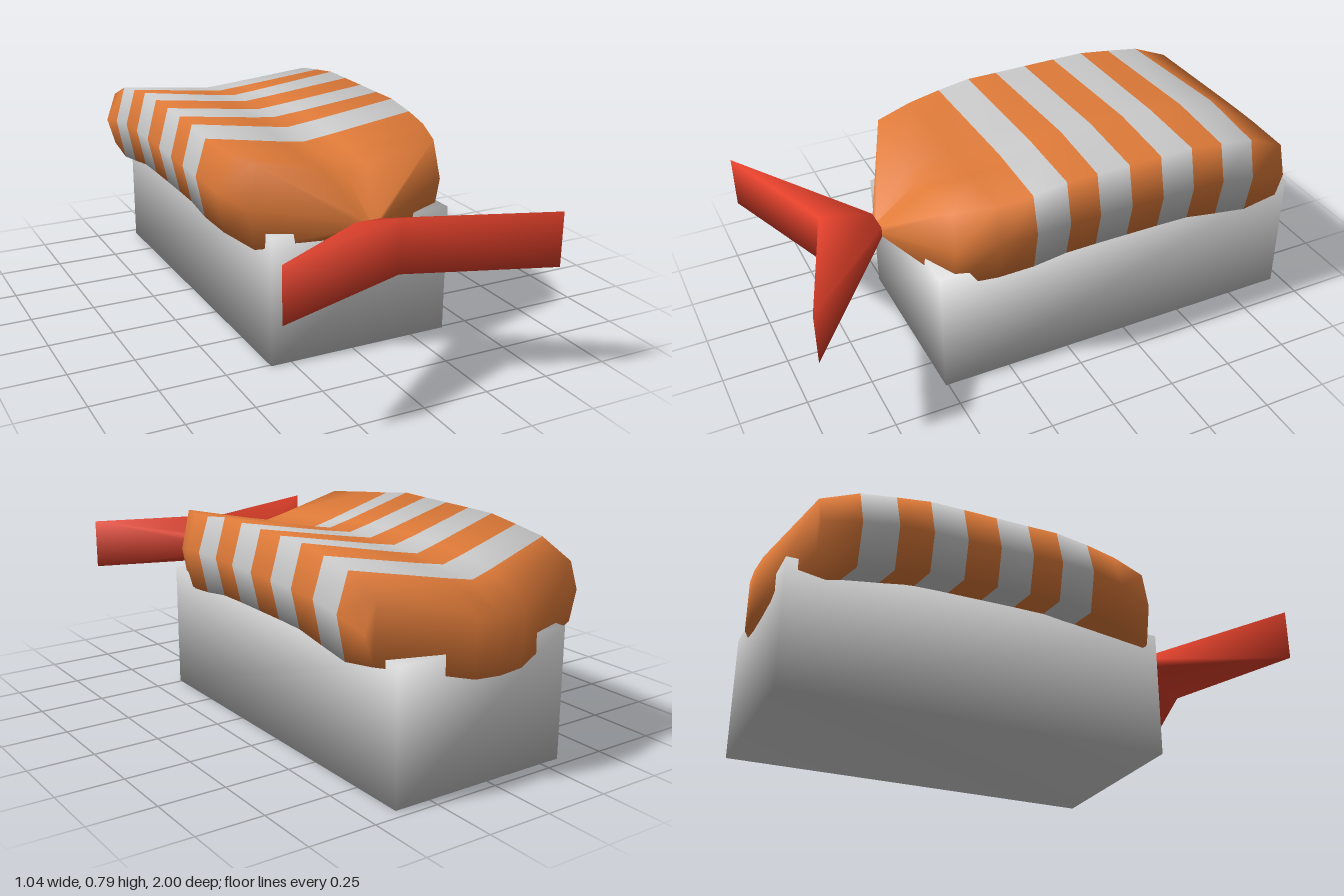
import * as THREE from 'three';
import { mergeVertices } from 'three/addons/utils/BufferGeometryUtils.js';

// Shrimp cross-sections, tail to head:
// [z at side, z at centre, half width, edge top y, centre top y, widest y, edge bottom y, centre bottom y]
const RINGS = [
  [0.60, 0.60, 0.05, 0.53, 0.53, 0.51, 0.49, 0.49],
  [0.45, 0.43, 0.39, 0.735, 0.655, 0.58, 0.43, 0.39],
  [0.30, 0.25, 0.445, 0.75, 0.67, 0.61, 0.452, 0.43],
  [0.17, 0.10, 0.465, 0.765, 0.68, 0.63, 0.47, 0.45],
  [0.04, -0.03, 0.465, 0.785, 0.705, 0.635, 0.488, 0.46],
  [-0.08, -0.16, 0.465, 0.785, 0.712, 0.635, 0.49, 0.46],
  [-0.21, -0.29, 0.465, 0.786, 0.715, 0.635, 0.49, 0.46],
  [-0.34, -0.43, 0.465, 0.787, 0.715, 0.635, 0.49, 0.46],
  [-0.47, -0.56, 0.465, 0.787, 0.71, 0.635, 0.488, 0.46],
  [-0.60, -0.70, 0.465, 0.77, 0.70, 0.63, 0.467, 0.45],
  [-0.735, -0.85, 0.465, 0.75, 0.68, 0.61, 0.447, 0.43],
  [-0.88, -1.00, 0.462, 0.69, 0.595, 0.58, 0.47, 0.39],
];
const STRIPES = [3, 5, 7, 9]; // bands between rings that are pale

function mesh(name, geometry, color) {
  const m = new THREE.Mesh(geometry, new THREE.MeshStandardMaterial({ color }));
  m.name = name;
  return m;
}

function smooth(geometry) {
  geometry.deleteAttribute('normal');
  geometry.deleteAttribute('uv');
  const merged = mergeVertices(geometry, 1e-4);
  merged.computeVertexNormals();
  return merged;
}

// One closed loop of points, from top centre over +x, underneath and back over -x
function ringPoints([zs, zc, w, yt, yc, ym, yb, ybc], isHead) {
  const lerp = THREE.MathUtils.lerp;
  const inner = isHead ? 0.06 : 0.22; // the head end is blunt in the middle
  const half = [
    [0, yc, zc],
    [0.22 * w, lerp(yc, yt, inner), lerp(zc, zs, inner)],
    [0.91 * w, yt, lerp(zc, zs, 0.97)],
    [w, ym, zs],
    [0.93 * w, yb, lerp(zc, zs, 0.98)],
    [0.22 * w, lerp(ybc, yb, inner), lerp(zc, zs, inner)],
    [0, ybc, zc],
  ];
  const mirrored = half.slice(1, -1).reverse().map(([x, y, z]) => [-x, y, z]);
  return [...half, ...mirrored];
}

// Shrimp body: one smooth skin, shared by orange and pale bands
function shrimp() {
  const group = new THREE.Group();
  group.name = 'shrimpBody';
  const loops = RINGS.map((r, i) => ringPoints(r, i === RINGS.length - 1));
  const n = loops[0].length;
  const flesh = [];
  const pale = [];
  for (let i = 0; i < loops.length - 1; i++) {
    const target = STRIPES.includes(i) ? pale : flesh;
    for (let j = 0; j < n; j++) {
      const a = i * n + j, b = i * n + (j + 1) % n;
      target.push(a, b, a + n, b, b + n, a + n);
    }
  }
  // End caps, joined across from the top half to the bottom half
  const last = (loops.length - 1) * n;
  for (const [base, flip] of [[0, true], [last, false]]) {
    const tri = (a, b, c) => flesh.push(base + a, base + (flip ? c : b), base + (flip ? b : c));
    for (const [a, b, c, d] of [[0, 1, 5, 6], [1, 2, 4, 5], [11, 0, 6, 7], [10, 11, 7, 8]]) {
      tri(a, b, c);
      tri(a, c, d);
    }
    tri(2, 3, 4);
    tri(8, 9, 10);
  }
  const skin = new THREE.BufferGeometry();
  skin.setAttribute('position', new THREE.Float32BufferAttribute(loops.flat(2), 3));
  skin.setIndex([...flesh, ...pale]);
  skin.computeVertexNormals();
  const part = (index) => {
    const g = skin.clone();
    g.setIndex(index);
    return g;
  };
  group.add(mesh('orangeFlesh', part(flesh), 0xe07b39));
  group.add(mesh('paleStripes', part(pale), 0xcccccc));
  return group;
}

// Tail fan: forked outline, thickening from the pinched root
function tailFan() {
  const s = new THREE.Shape();
  s.moveTo(-0.05, 0.6);
  s.lineTo(0.05, 0.6);
  s.lineTo(0.522, 1);
  s.lineTo(0, 0.815);
  s.lineTo(-0.522, 1);
  s.closePath();
  const g = new THREE.ExtrudeGeometry(s, { depth: 0.2, bevelEnabled: false });
  g.translate(0, 0, -0.1);
  g.rotateX(Math.PI / 2); // outline's y becomes z
  const p = g.attributes.position;
  for (let i = 0; i < p.count; i++) {
    const thick = p.getZ(i) < 0.7 ? 0.2 : 1;
    p.setY(i, 0.51 + p.getY(i) * thick);
  }
  return mesh('tailFan', smooth(g), 0xe2402a);
}

export function createModel() {
  const model = new THREE.Group();
  model.name = 'shrimpOnRice';

  // Rice block
  const rice = new THREE.BoxGeometry(0.72, 0.49, 1.47);
  rice.translate(0.03, 0.245, -0.225);
  model.add(mesh('riceBlock', smooth(rice), 0xcccccc));

  model.add(shrimp(), tailFan());
  return model;
}
